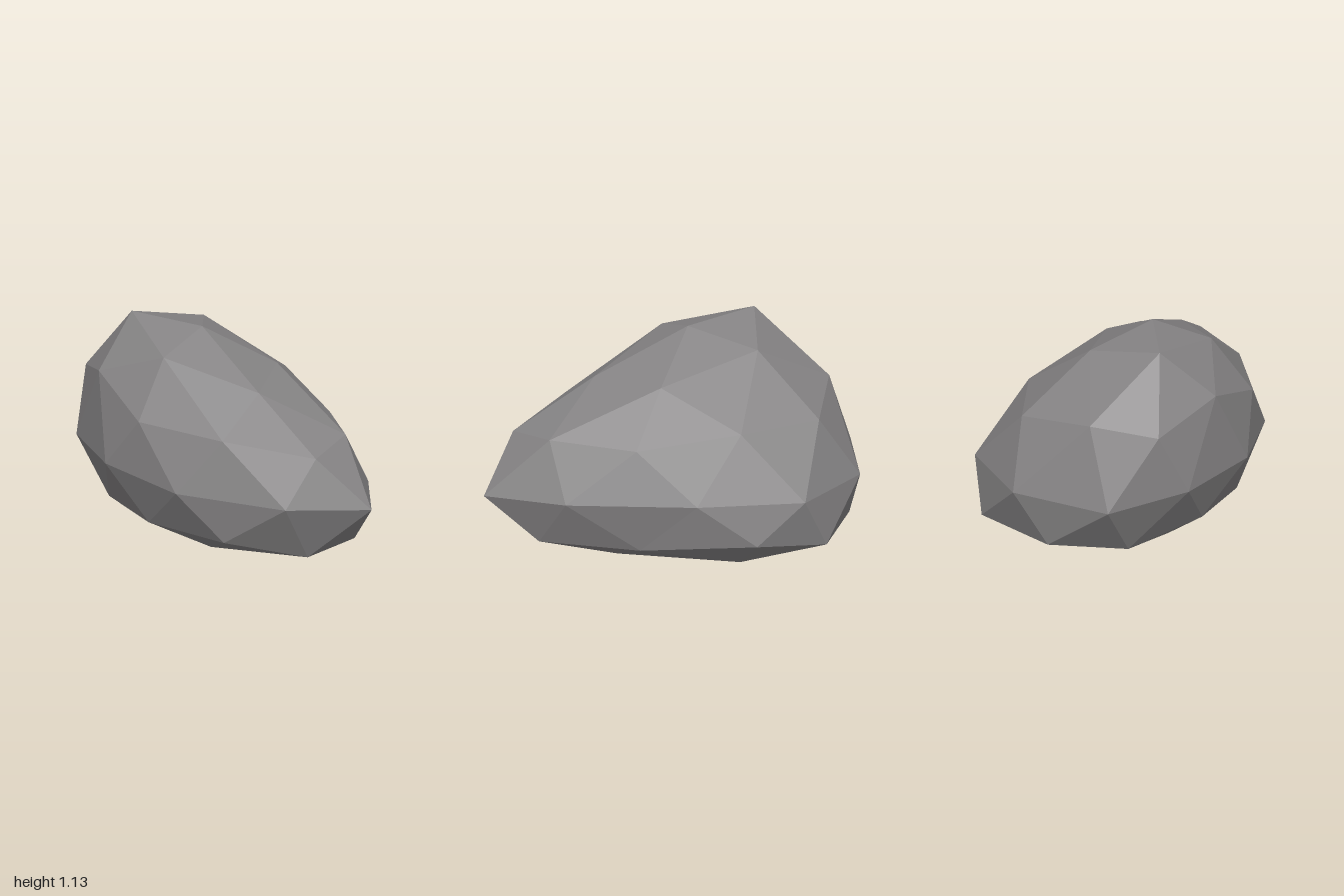
import * as THREE from 'three';

// Horizontal loops of the boulder, each counter-clockwise seen from above
const TOP = [-0.155, 1.125, 0.17];
const CROWN = [
  [-0.57, 1.135, 0.235], [-0.16, 1.03, 0.47], [0.32, 0.895, 0.285],
  [0.13, 0.925, -0.085], [-0.4, 1.055, -0.135],
];
const SHOULDER = [
  [-0.825, 0.83, -0.105], [-0.863, 0.79, 0.25], [-0.55, 0.89, 0.52], [-0.15, 0.74, 0.68], [0.325, 0.71, 0.58],
  [0.755, 0.65, 0.35], [0.7, 0.695, 0.05], [0.35, 0.67, -0.24], [-0.135, 0.755, -0.465], [-0.58, 0.76, -0.47],
];
const WAIST = [
  [-0.8, 0.43, -0.5], [-1, 0.42, 0], [-0.8, 0.465, 0.4], [-0.38, 0.465, 0.67], [0.135, 0.425, 0.725],
  [0.7, 0.405, 0.525], [1, 0.39, 0.2], [0.7, 0.4, -0.13], [0.14, 0.42, -0.51], [-0.37, 0.43, -0.725],
];
const BELLY = [
  [-0.83, 0.155, -0.32], [-0.8, 0.13, 0.09], [-0.54, 0.2, 0.45], [-0.15, 0.18, 0.6], [0.36, 0.18, 0.61],
  [0.7, 0.11, 0.35], [0.76, 0.15, 0.05], [0.36, 0.15, -0.3], [-0.125, 0.21, -0.665], [-0.515, 0.16, -0.68],
];
const FOOT = [
  [-0.515, 0.025, -0.29], [-0.4, 0.035, 0.27], [0.07, 0.035, 0.367],
  [0.32, 0.01, 0.03], [-0.137, 0.05, -0.45],
];
const BOTTOM = [-0.1, 0, -0.05];

export function createModel() {
  const positions = [];
  const tri = (a, b, c) => positions.push(...a, ...b, ...c);
  const at = (ring, i) => ring[(i + ring.length) % ring.length];

  // Caps: a pole, five inner points, and the ten-point loop around them
  const cap = (pole, inner, outer, offset, face) => {
    for (let i = 0; i < 5; i++) {
      const k = 2 * i + offset;
      const p = inner[i], next = at(inner, i + 1);
      face(pole, p, next);
      face(p, at(outer, k - 1), at(outer, k));
      face(p, at(outer, k), at(outer, k + 1));
      face(p, at(outer, k + 1), next);
    }
  };
  cap(TOP, CROWN, SHOULDER, 1, tri);
  cap(BOTTOM, FOOT, BELLY, 0, (a, b, c) => tri(a, c, b));

  // Sides: zigzag bands from shoulder to waist and waist to belly
  for (let k = 0; k < 10; k++) {
    const w = WAIST[k], w1 = at(WAIST, k + 1), w2 = at(WAIST, k + 2);
    tri(SHOULDER[k], w, w1);
    tri(SHOULDER[k], w1, at(SHOULDER, k + 1));
    tri(BELLY[k], w1, w);
    tri(w1, BELLY[k], at(BELLY, k + 1));
  }

  const geometry = new THREE.BufferGeometry();
  geometry.setAttribute('position', new THREE.Float32BufferAttribute(positions, 3));
  geometry.computeVertexNormals();

  const stone = new THREE.MeshStandardMaterial({ color: 0x858384, flatShading: true });
  stone.name = 'stone grey';
  const boulder = new THREE.Mesh(geometry, stone);
  boulder.name = 'boulder';

  const group = new THREE.Group();
  group.name = 'rock';
  group.add(boulder);
  return group;
}
